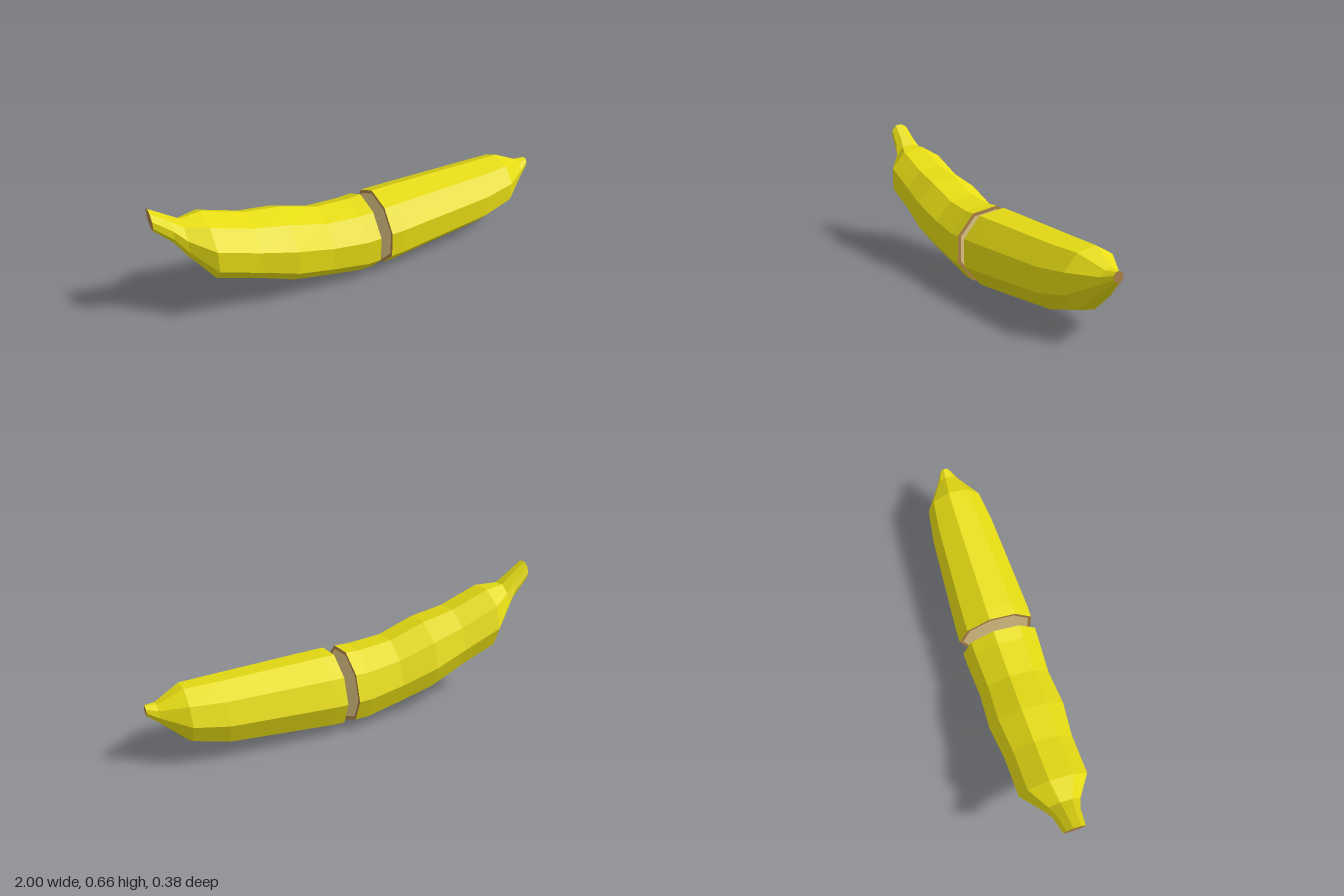
import * as THREE from 'three';

const SIDES = 9;
const peelMat = new THREE.MeshStandardMaterial({ color: 0xe6dc14, flatShading: true });
const brownMat = new THREE.MeshStandardMaterial({ color: 0xb08448, flatShading: true });
const fleshMat = new THREE.MeshStandardMaterial({ color: 0xe2c888, flatShading: true });

// Point k of a nine-sided ring [x, centre height, radius in y, radius in z]
function ringPoint([x, y, ry, rz], k) {
  const a = (k / SIDES) * Math.PI * 2;
  return [x, y + ry * Math.sin(a), 0.004 - rz * Math.cos(a)];
}

// Skin between consecutive rings; a ring of radius 0 makes a closed fan
function loft(name, rings, material) {
  const pos = [];
  for (let i = 0; i < rings.length - 1; i++) {
    for (let k = 0; k < SIDES; k++) {
      const a = ringPoint(rings[i], k), b = ringPoint(rings[i], k + 1);
      const c = ringPoint(rings[i + 1], k), d = ringPoint(rings[i + 1], k + 1);
      if (rings[i][2] > 0) pos.push(...a, ...b, ...c);
      if (rings[i + 1][2] > 0) pos.push(...b, ...d, ...c);
    }
  }
  const geo = new THREE.BufferGeometry();
  geo.setAttribute('position', new THREE.Float32BufferAttribute(pos, 3));
  geo.computeVertexNormals();
  const mesh = new THREE.Mesh(geo, material);
  mesh.name = name;
  return mesh;
}

// Flat disc band on a ring, between two scales, facing +x (dir 1) or -x (dir -1)
function disc(name, [x, y, ry, rz], outer, inner, dir, material) {
  const rings = [outer, inner].map((s) => [x, y, ry * s, rz * s]);
  return loft(name, dir > 0 ? rings : rings.reverse(), material);
}

// Section from its top and bottom heights and half width
const section = (x, top, bottom, half) => [x, (top + bottom) / 2, (top - bottom) / 1.97, half];

export function createModel() {
  const group = new THREE.Group();
  group.name = 'slicedBanana';

  // Stem half, from the stem end to the cut
  const stemRings = [
    section(-1, 0.666, 0.565, 0.051),
    section(-0.92, 0.605, 0.475, 0.064),
    section(-0.87, 0.565, 0.385, 0.088),
    section(-0.768, 0.562, 0.24, 0.165),
    section(-0.57, 0.488, 0.16, 0.168),
    section(-0.4, 0.457, 0.086, 0.189),
    section(-0.215, 0.395, 0.038, 0.18),
    section(-0.04, 0.381, 0.003, 0.192),
    section(0.028, 0.385, 0.003, 0.194),
  ];
  // Tip half, from the cut to the blossom end
  const tipRings = [
    section(0.09, 0.387, 0.003, 0.194),
    section(0.15, 0.387, 0.006, 0.194),
    section(0.66, 0.381, 0.055, 0.166),
    section(0.825, 0.381, 0.105, 0.143),
    section(0.95, 0.323, 0.23, 0.054),
    section(1, 0.325, 0.275, 0.025),
  ];
  const stemCut = stemRings[stemRings.length - 1];
  const tipEnd = tipRings[tipRings.length - 1];

  const stemHalf = new THREE.Group();
  stemHalf.name = 'stemHalf';
  stemHalf.add(
    loft('stemPeel', stemRings, peelMat),
    disc('stemCap', stemRings[0], 1, 0, -1, brownMat),
    disc('stemCutRim', stemCut, 1, 0.91, 1, brownMat),
    disc('stemCutFlesh', stemCut, 0.91, 0, 1, fleshMat),
  );

  const tipHalf = new THREE.Group();
  tipHalf.name = 'tipHalf';
  tipHalf.add(
    loft('tipPeel', tipRings, peelMat),
    disc('tipCap', tipEnd, 1, 0, 1, brownMat),
    disc('tipCutRim', tipRings[0], 1, 0.91, -1, brownMat),
    disc('tipCutFlesh', tipRings[0], 0.91, 0, -1, fleshMat),
  );

  group.add(stemHalf, tipHalf);
  return group;
}
